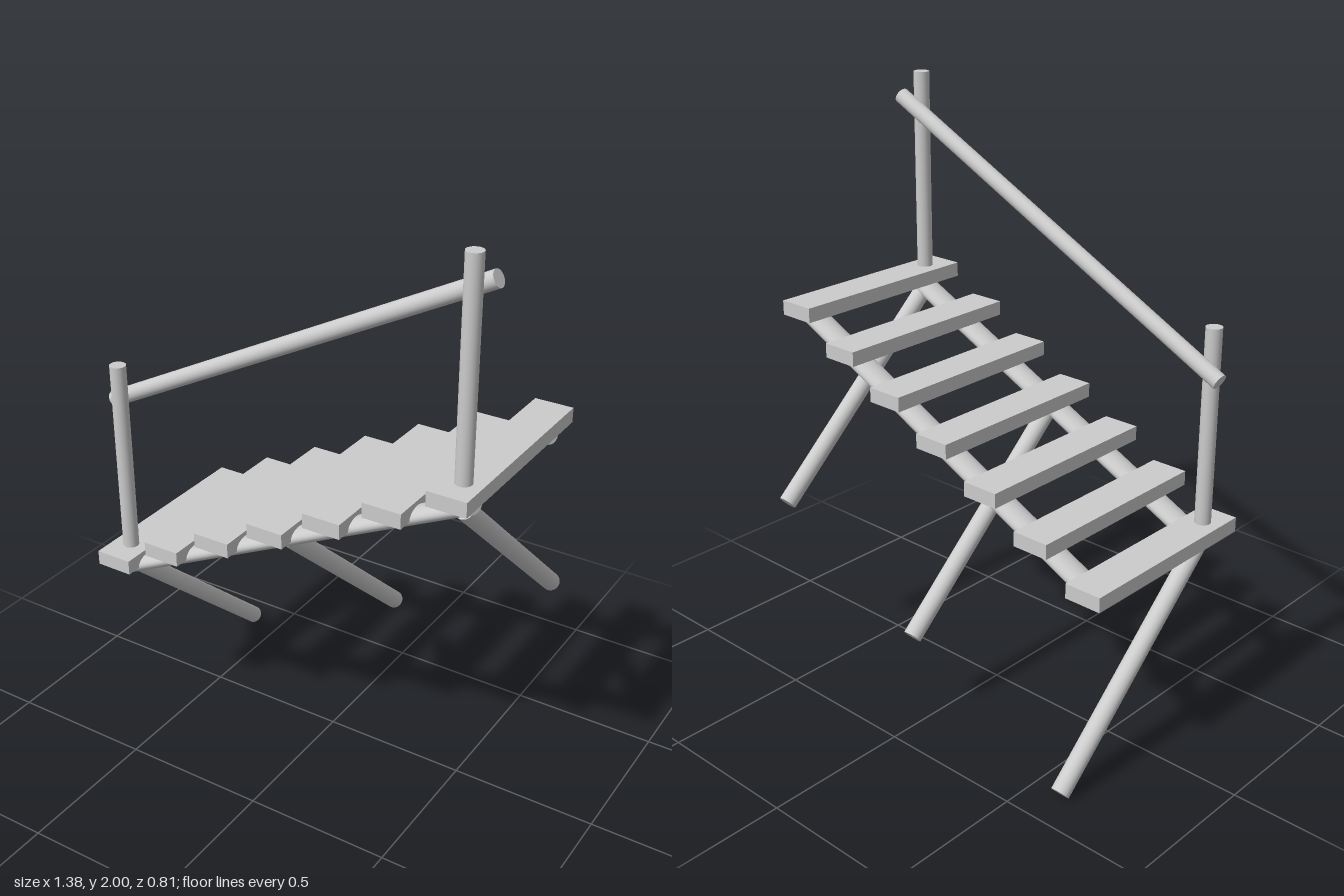
import * as THREE from 'three';

const material = new THREE.MeshStandardMaterial({ color: 0xcccccc });

// Straight round pole between two points; widthZ stretches its section along z
function pole(name, from, to, radius, widthZ = 1) {
  const a = new THREE.Vector3(...from);
  const b = new THREE.Vector3(...to);
  const dir = b.clone().sub(a);
  const geometry = new THREE.CylinderGeometry(radius, radius, dir.length(), 32);
  geometry.scale(1, 1, widthZ);
  const mesh = new THREE.Mesh(geometry, material);
  mesh.name = name;
  mesh.position.copy(a).add(b).multiplyScalar(0.5);
  mesh.quaternion.setFromUnitVectors(new THREE.Vector3(0, 1, 0), dir.normalize());
  return mesh;
}

export function createModel() {
  const model = new THREE.Group();
  model.name = 'stairway';

  // Seven plank treads climbing towards +x
  const treads = new THREE.Group();
  treads.name = 'treads';
  const plank = new THREE.BoxGeometry(0.13, 0.05, 0.705);
  for (let i = 0; i < 7; i++) {
    const tread = new THREE.Mesh(plank, material);
    tread.name = 'tread';
    tread.position.set(-0.617 + i * 0.207, 0.683 + i * 0.1008, 0.051);
    treads.add(tread);
  }
  model.add(treads);

  // Two flattened log stringers under the treads
  for (const [name, z] of [['frontStringer', 0.306], ['backStringer', -0.204]]) {
    model.add(pole(name, [-0.617, 0.63, z], [0.664, 1.254, z], 0.027, 1.7));
  }

  // Three slanted support legs running backwards from the front stringer
  for (const [x, foot] of [[-0.614, 0.027], [0.025, 0.324], [0.63, 0.61]]) {
    model.add(pole('supportLeg', [x, foot + 0.615, 0.3], [x, foot, -0.383], 0.031));
  }

  // Handrail with its two upright posts
  model.add(pole('lowerPost', [-0.619, 0.67, 0.306], [-0.619, 1.373, 0.306], 0.027));
  model.add(pole('upperPost', [0.628, 1.275, 0.306], [0.628, 2, 0.306], 0.027));
  model.add(pole('handrail', [-0.681, 1.221, 0.259], [0.678, 1.917, 0.259], 0.027));

  return model;
}
